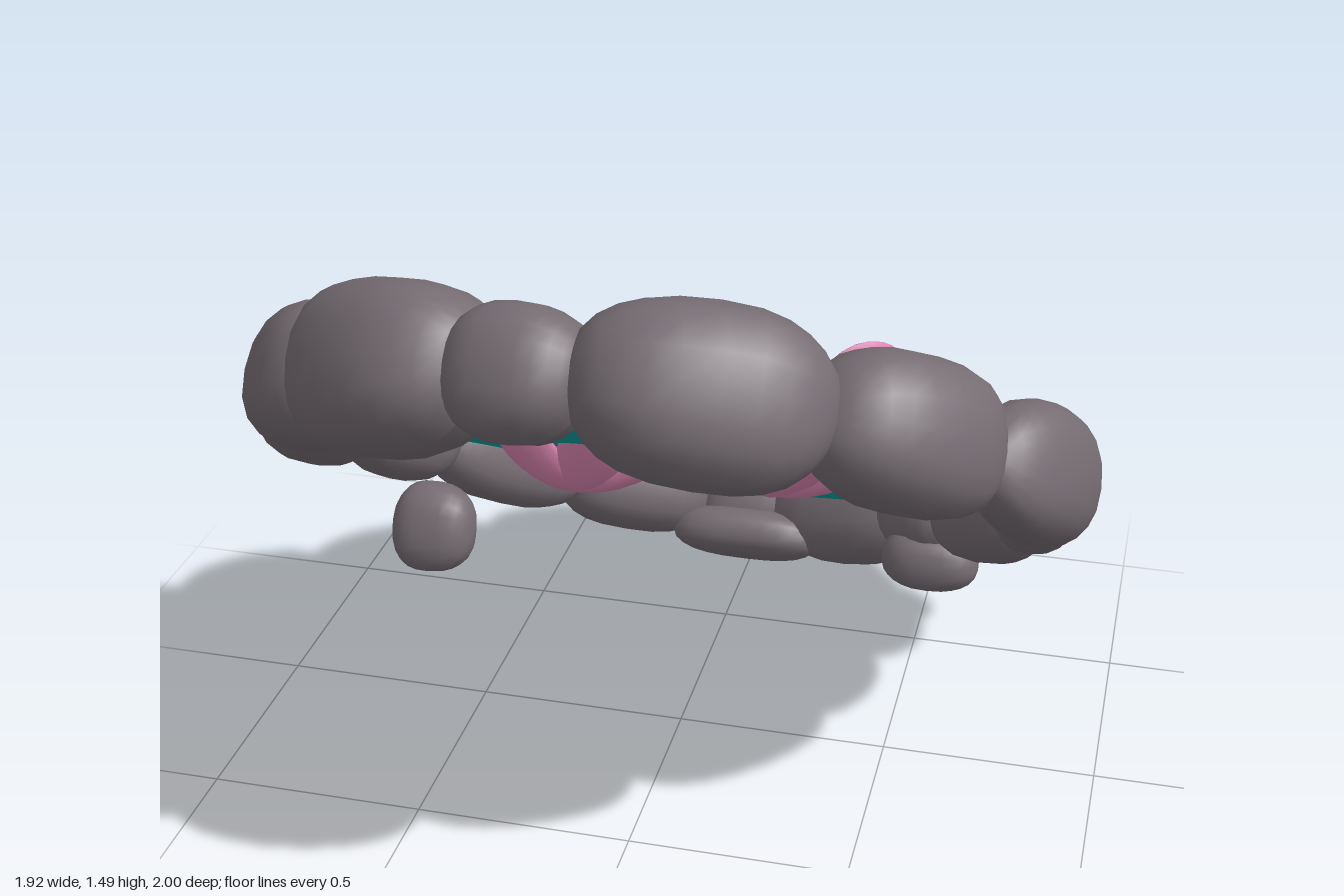
import * as THREE from 'three';

const mat = (name, color, side = THREE.FrontSide) => {
  const m = new THREE.MeshStandardMaterial({ color, side });
  m.name = name;
  return m;
};

const TILT = 0.597;             // slope of the pond, front edge raised
const C = Math.cos(TILT);

export function createModel() {
  const stoneMat = mat('stone grey', 0x766d73);
  const waterMat = mat('pond teal', 0x03a5a3, THREE.DoubleSide);
  const padMat = mat('lily pad green', 0x6e9a1c);
  const petalMat = mat('petal pink', 0xdc86b1);
  const heartMat = mat('flower heart yellow', 0xdac76a);

  const model = new THREE.Group();
  model.name = 'lilyPond';
  const pond = new THREE.Group();
  pond.name = 'tiltedPond';
  pond.rotation.x = -TILT;
  pond.position.y = 0.75;
  model.add(pond);

  const add = (parent, name, geo, material) => {
    const m = new THREE.Mesh(geo, material);
    m.name = name;
    parent.add(m);
    return m;
  };

  const sq = (v, e) => Math.sign(v) * Math.abs(v) ** e;

  // Boulder: squared-off ellipsoid with gentle lumps, bent to follow the rim
  const boulder = (l, h, w, seed) => {
    const g = new THREE.SphereGeometry(1, 20, 14).rotateZ(Math.PI / 2);
    const p = g.attributes.position;
    for (let i = 0; i < p.count; i++) {
      const x = p.getX(i), y = p.getY(i), z = p.getZ(i);
      const k = 1 + 0.025 * Math.sin(3 * x + seed) * Math.cos(3 * y - 2 * z + seed * 2);
      const px = sq(x, 0.8) * l * k;
      p.setXYZ(i, px, sq(y, 0.85) * h * k, sq(z, 0.85) * w * k + (px * px - l * l / 3) * 0.3);
    }
    g.computeVertexNormals();
    return g;
  };

  // Rim stones: x, z, half length, half width, half height
  [
    [-0.01, -0.875, 0.145, 0.12, 0.13], [0.275, -0.82, 0.24, 0.14, 0.155],
    [0.495, -0.69, 0.14, 0.115, 0.12], [0.68, -0.49, 0.24, 0.115, 0.14],
    [0.805, -0.13, 0.23, 0.1, 0.135], [0.828, 0.225, 0.295, 0.11, 0.15],
    [0.6, 0.59, 0.245, 0.14, 0.16], [0.24, 0.795, 0.26, 0.17, 0.18],
    [-0.11, 0.825, 0.15, 0.125, 0.135], [-0.405, 0.715, 0.27, 0.17, 0.18],
    [-0.665, 0.49, 0.245, 0.14, 0.16], [-0.805, 0.145, 0.3, 0.135, 0.15],
    [-0.77, -0.23, 0.22, 0.11, 0.125], [-0.59, -0.54, 0.25, 0.115, 0.13],
    [-0.315, -0.79, 0.22, 0.135, 0.14],
  ].forEach(([x, z, l, w, h], i) => {
    const zl = z / C;
    const s = add(pond, 'rimStone' + (i + 1), boulder(l, h, w, i * 1.7), stoneMat);
    s.position.set(x, 0, zl);
    s.rotation.y = Math.atan2(-x * 1.27, -zl / 1.27);  // along the oval
  });

  // Loose stones below the rim: position, half sizes, tilt
  [
    [-0.685, 0.335, -0.21, 0.105, 0.115, 0.085, -0.35],
    [0.52, 0.18, -0.62, 0.125, 0.085, 0.1, -0.2],
    [0, 0.097, -0.77, 0.2, 0.07, 0.12, -TILT],
  ].forEach(([x, y, z, l, h, w, tilt], i) => {
    const s = add(model, 'lowerStone' + (i + 1), boulder(l, h, w, i * 2.3), stoneMat);
    s.position.set(x, y, z);
    s.rotation.x = tilt;
  });

  // Water surface
  const water = add(pond, 'water', new THREE.CircleGeometry(1, 48).rotateX(-Math.PI / 2), waterMat);
  water.scale.set(0.8, 1, 1.02);

  // Lily pads: x, z, radius, notch direction, lean, roll, height, stretch along the slope
  [
    [0.135, -0.51, 0.224, 2.5, 0.045, 0, 0.014, 0.98],
    [0.5, -0.197, 0.188, 2.98, -0.06, -0.05, 0.008, 1.16],
    [-0.358, 0.317, 0.246, 0.82, 0.015, 0, 0.011, 1.14],
  ].forEach(([x, z, r, a, lean, roll, y, stretch], i) => {
    const shape = new THREE.Shape();
    shape.moveTo(r * 0.25 * Math.cos(a), r * 0.25 * Math.sin(a));
    for (let k = 0; k <= 36; k++) {
      const t = a + 0.22 + (k / 36) * (Math.PI * 2 - 0.44);
      shape.lineTo(r * Math.cos(t), r * Math.sin(t));
    }
    shape.closePath();
    const g = new THREE.ExtrudeGeometry(shape, {
      depth: 0.016, bevelThickness: 0.007, bevelSize: 0.007, bevelSegments: 2,
    }).rotateX(-Math.PI / 2);
    const pad = add(pond, 'lilyPad' + (i + 1), g, padMat);
    pad.position.set(x, y, z / C);
    pad.rotation.set(lean, 0, roll);
    pad.scale.z = stretch;
  });

  // Petal: flattened ellipsoid from the origin along +x, cupped and curled upward
  const petalGeo = (len, wid, curl) => {
    const g = new THREE.SphereGeometry(1, 16, 12).rotateZ(-Math.PI / 2);
    const p = g.attributes.position;
    for (let i = 0; i < p.count; i++) {
      const x = sq(p.getX(i), 0.9), y = p.getY(i), z = p.getZ(i);
      const t = (x + 1) / 2, zw = z * (0.88 + 0.22 * x);
      p.setXYZ(i, t * len, y * 0.03 + zw * zw * wid * 0.4 + curl * t * t, zw * wid);
    }
    g.computeVertexNormals();
    return g;
  };

  // Water lilies: two whorls of five petals round a yellow heart
  const inner = petalGeo(0.315, 0.122, 0.05);
  const outer = petalGeo(0.375, 0.128, 0.12);
  const lily = (name, x, z, scale, spin) => {
    const f = new THREE.Group();
    f.name = name;
    f.position.set(x, 0, z / C);
    f.scale.setScalar(scale);
    pond.add(f);
    const whorl = (label, geo, offset, tilt, r, y) => {
      for (let k = 0; k < 5; k++) {
        const arm = new THREE.Group();
        arm.name = label + (k + 1);
        arm.rotation.y = spin + offset + (k / 5) * Math.PI * 2;
        f.add(arm);
        const p = add(arm, label, geo, petalMat);
        p.position.set(r, y, 0);
        p.rotation.z = tilt;
      }
    };
    whorl('outerPetal', outer, 0, 0.2, 0, -0.105);
    whorl('innerPetal', inner, Math.PI / 5, 0.78, 0.06, -0.035);
    const heart = add(f, 'flowerHeart', new THREE.SphereGeometry(0.12, 16, 12), heartMat);
    heart.scale.y = 0.85;
    heart.position.y = 0.085;
  };
  lily('largeLily', 0.27, 0.265, 1, Math.PI / 2);
  lily('smallLily', -0.335, -0.32, 0.84, Math.PI / 2 - 0.1);

  // Stand on the ground, centred
  model.updateMatrixWorld(true);
  const box = new THREE.Box3().setFromObject(model, true);
  const c = box.getCenter(new THREE.Vector3());
  model.children.forEach((o) => o.position.sub(new THREE.Vector3(c.x, box.min.y, c.z)));
  return model;
}
